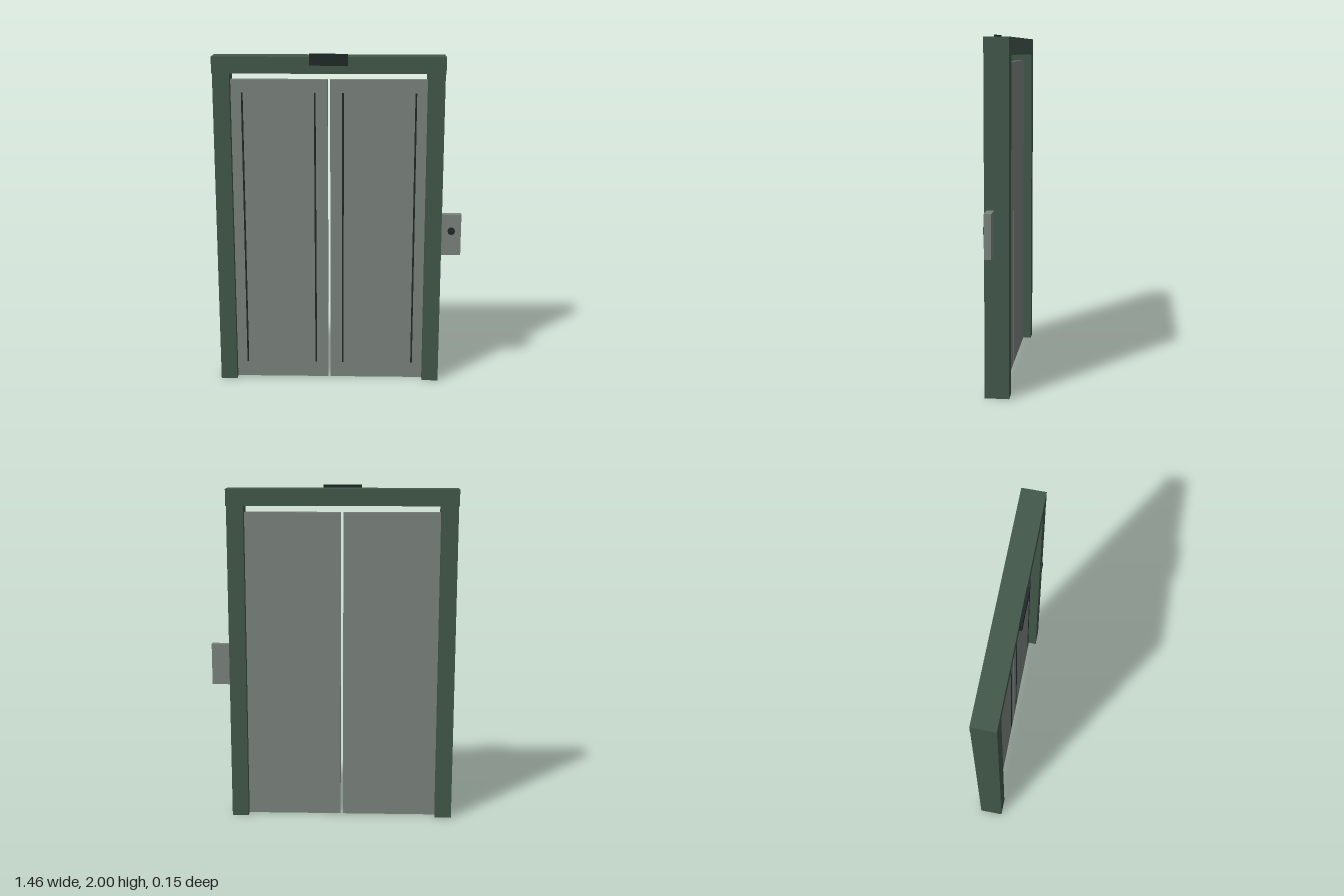
import * as THREE from 'three';

export function createModel() {
  const model = new THREE.Group();
  model.name = 'elevatorDoor';

  const material = (name, color) => {
    const m = new THREE.MeshStandardMaterial({ color });
    m.name = name;
    return m;
  };
  const green = material('frameGreen', 0x43584b);
  const grey = material('panelGrey', 0x7c847f);
  const dark = material('darkTrim', 0x1f2a2a);

  // Box given by its limits on each axis
  const box = (name, mat, [x0, x1], [y0, y1], [z0, z1]) => {
    const mesh = new THREE.Mesh(new THREE.BoxGeometry(x1 - x0, y1 - y0, z1 - z0), mat);
    mesh.position.set((x0 + x1) / 2, (y0 + y1) / 2, (z0 + z1) / 2);
    mesh.name = name;
    model.add(mesh);
    return mesh;
  };

  const centre = -0.058; // middle of the doorway
  const back = -0.077, front = 0.06;
  const doorBack = -0.027, doorFront = 0.012;

  // Posts, sliding doors and their grooves, mirrored about the doorway
  for (const [side, s] of [['right', -1], ['left', 1]]) {
    const span = (a, b) => [centre + s * a, centre + s * b].sort((p, q) => p - q);
    box(side + 'Post', green, span(0.57, 0.668), [0, 1.886], [back, front]);
    box(side + 'Door', grey, span(0.007, 0.57), [0, 1.846], [doorBack, doorFront]);
    for (const [place, d] of [['Inner', 0.082], ['Outer', 0.505]]) {
      box(side + place + 'Strip', dark, span(d - 0.005, d + 0.005), [0.097, 1.77], [doorFront, doorFront + 0.004]);
    }
  }

  // Lintel with the floor indicator
  box('lintel', green, [centre - 0.672, centre + 0.672], [1.886, 1.982], [back, front]);
  box('floorIndicator', dark, [centre - 0.111, centre + 0.111], [1.934, 2], [front, 0.077]);

  // Call panel with its round button
  box('callPanel', grey, [0.61, 0.726], [0.807, 1.055], [0.005, 0.045]);
  const button = new THREE.Mesh(new THREE.CylinderGeometry(0.022, 0.022, 0.01, 12), dark);
  button.rotation.x = Math.PI / 2;
  button.position.set(0.668, 0.955, 0.05);
  button.name = 'callButton';
  model.add(button);

  return model;
}
